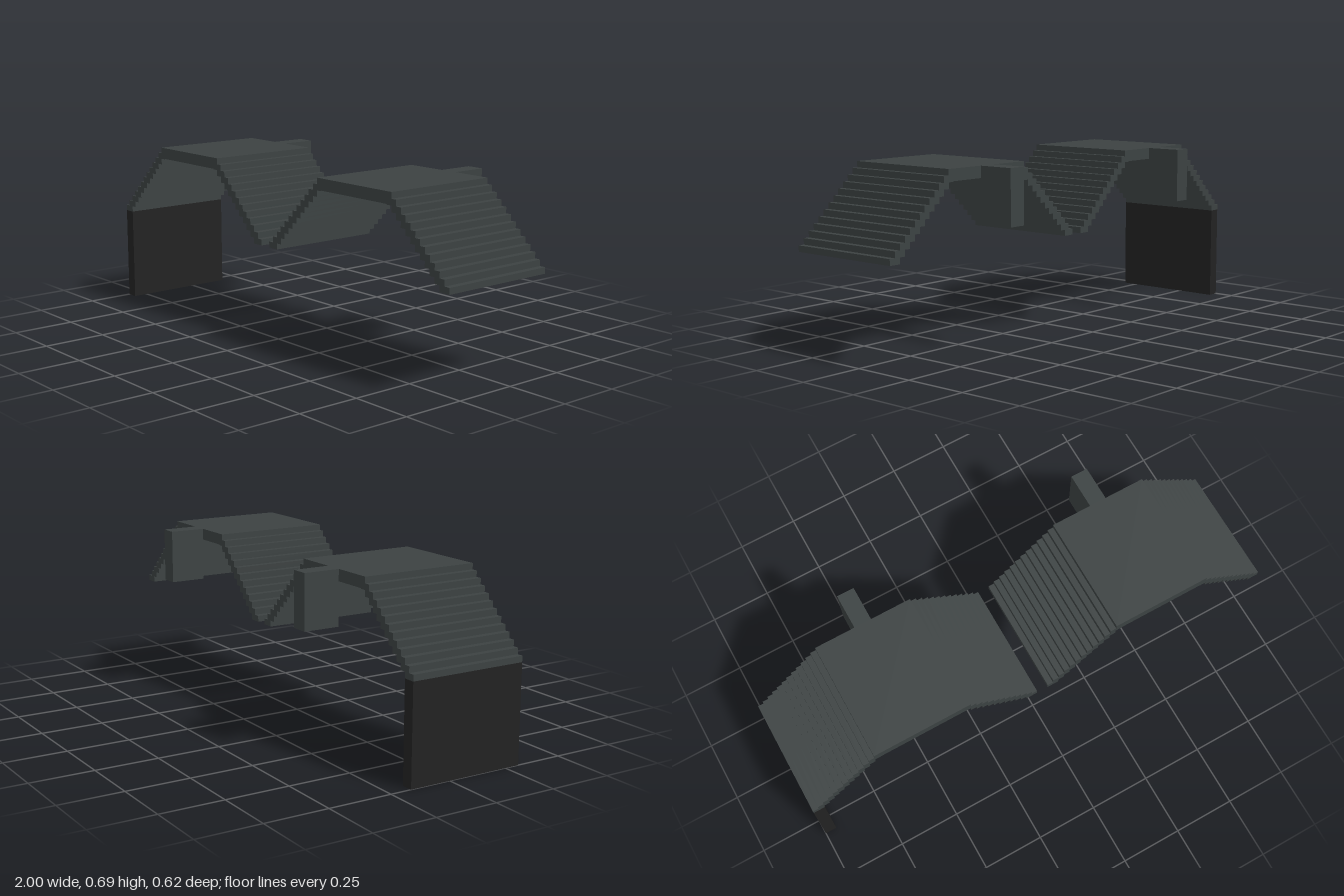
import * as THREE from 'three';

export function createModel() {
  const model = new THREE.Group();
  model.name = 'steppedPlatforms';

  const slate = new THREE.MeshStandardMaterial({ color: 0x3c4242 });
  slate.name = 'slate grey';
  const black = new THREE.MeshStandardMaterial({ color: 0x222222 });
  black.name = 'soft black';

  // Box given by its lower and upper limits on each axis
  function box(parent, name, material, [x0, x1], [y0, y1], [z0, z1]) {
    const mesh = new THREE.Mesh(new THREE.BoxGeometry(x1 - x0, y1 - y0, z1 - z0), material);
    mesh.position.set((x0 + x1) / 2, (y0 + y1) / 2, (z0 + z1) / 2);
    mesh.name = name;
    parent.add(mesh);
  }

  const top = 0.69, rise = 0.0237, run = 0.024, steps = 12;
  const half = 0.2;
  const depth = [-0.166, 0.31];

  // Raised platform with a flight of steps down each side and a rear bracket
  function createArch(name, x) {
    const arch = new THREE.Group();
    arch.name = name;
    arch.position.x = x;
    box(arch, 'platform', slate, [-half, half], [0.645, top], depth);
    box(arch, 'rearBracket', slate, [-0.035, 0.035], [0.478, top], [-0.31, depth[0]]);
    for (const side of [-1, 1]) {
      for (let i = 0; i < steps; i++) {
        const outer = half + run * (i + 1);
        const inner = outer - 2 * run;
        const y = top - rise * (i + 1);
        const span = side > 0 ? [inner, outer] : [-outer, -inner];
        box(arch, side > 0 ? 'leftStep' : 'rightStep', slate, span, [y - rise, y], depth);
      }
    }
    model.add(arch);
  }
  createArch('leftArch', 0.512);
  createArch('rightArch', -0.512);

  // Upright wall under the outer end of the right steps
  box(model, 'endWall', black, [-1, -0.953], [0, 0.382], depth);

  return model;
}
